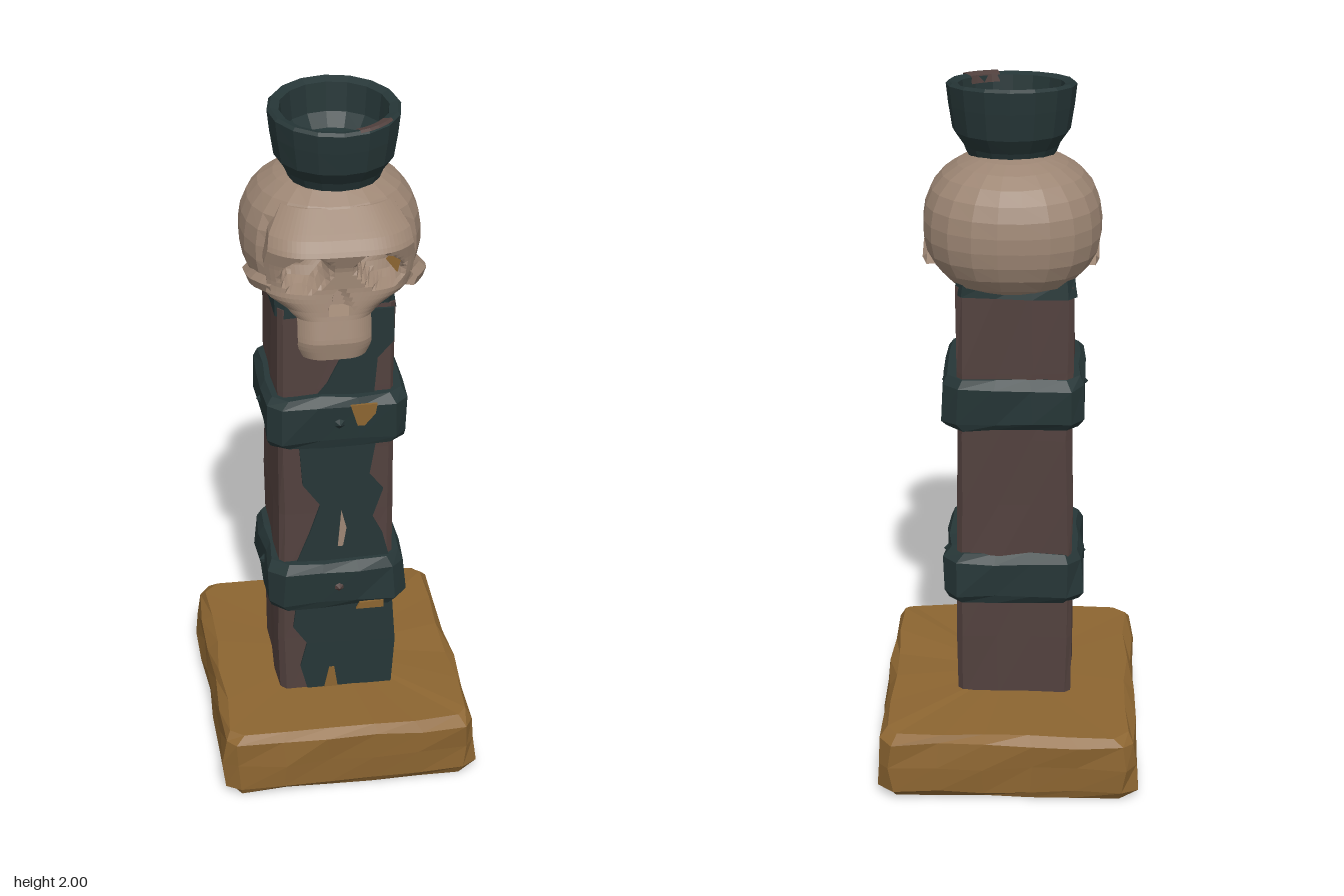
import * as THREE from 'three';

const mat = (name, color) => {
  const m = new THREE.MeshStandardMaterial({ color, side: THREE.DoubleSide });
  m.name = name;
  return m;
};

// seeded noise in -1..1
let seed = 7;
const rnd = () => {
  seed = (seed * 16807) % 2147483647;
  return (seed / 2147483647) * 2 - 1;
};

// piecewise linear lookup in [[key, value], ...]
const lookup = (table, k) => {
  for (let i = 1; i < table.length; i++) {
    const [a, va] = table[i - 1], [b, vb] = table[i];
    if (k <= b) return va + (vb - va) * Math.max(0, (k - a) / (b - a));
  }
  return table[table.length - 1][1];
};

// faceted normals
const facet = (geo) => {
  const g = geo.index ? geo.toNonIndexed() : geo;
  g.computeVertexNormals();
  return g;
};

// skin stacked rings (counterclockwise from above, bottom to top) and cap both ends
function loft(rings) {
  const n = rings[0].length, pos = rings.flat(2), idx = [];
  rings.slice(1).forEach((_, i) => {
    for (let j = 0; j < n; j++) {
      const a = i * n + j, b = i * n + (j + 1) % n;
      idx.push(a, b, b + n, a, b + n, a + n);
    }
  });
  [rings[0], rings[rings.length - 1]].forEach((ring, end) => {
    const c = pos.length / 3, o = end * (rings.length - 1) * n;
    for (let k = 0; k < 3; k++) pos.push(ring.reduce((s, p) => s + p[k], 0) / n);
    for (let j = 0; j < n; j++) {
      const a = o + j, b = o + (j + 1) % n;
      idx.push(c, end ? a : b, end ? b : a);
    }
  });
  const g = new THREE.BufferGeometry();
  g.setAttribute('position', new THREE.Float32BufferAttribute(pos, 3));
  g.setIndex(idx);
  return facet(g);
}

// hewn block: chamfered rectangle rings with half sizes w, d; rows are [y, inset]
function hewn(w, d, chamfer, n, rows, jitter, cx = 0, cz = 0) {
  return loft(rows.map(([y, inset]) => {
    const ring = [], W = w - inset, D = d - inset;
    for (let side = 0; side < 4; side++) {
      for (let i = 0; i < n; i++) {
        const t = (i / (n - 1)) * 2 - 1, x = t * (W - chamfer), z = t * (D - chamfer);
        const p = [[x, D], [W, -z], [-x, -D], [-W, z]][side];
        ring.push([cx + p[0] + rnd() * jitter, y > 0 ? y + rnd() * jitter * 0.7 : 0, cz + p[1] + rnd() * jitter]);
      }
    }
    return ring;
  }));
}

// thin flat patch with its back at z
function patch(points, z) {
  const shape = new THREE.Shape(points.map(([x, y]) => new THREE.Vector2(x, y)));
  return new THREE.ExtrudeGeometry(shape, { depth: 0.008, bevelEnabled: false }).translate(0, 0, z);
}

// rounded braincase with flattened underside and front
function craniumGeometry() {
  const g = new THREE.SphereGeometry(1, 22, 15), p = g.attributes.position;
  for (let i = 0; i < p.count; i++) {
    const v = new THREE.Vector3().fromBufferAttribute(p, i);
    const s = (Math.abs(v.x) ** 2.4 + Math.abs(v.y) ** 2.4 + Math.abs(v.z) ** 2.4) ** (-1 / 2.4);
    let x = v.x * s * 0.248, y = 1.6 + v.y * s * 0.2, z = v.z * s * 0.24;
    if (y < 1.55) x *= 1 - (1.55 - y) * 0.6;
    y = Math.max(y, z > 0 ? 1.46 : 1.435);
    if (y < 1.7) z = Math.min(z, 0.17);
    p.setXYZ(i, x - 0.005, y, z);
  }
  return facet(g);
}

// face: depth profile by height, with hollow eye sockets and nose
function faceGeometry() {
  const width = [[1.35, 0.085], [1.38, 0.1], [1.46, 0.1], [1.485, 0.13], [1.515, 0.19], [1.6, 0.205], [1.68, 0.19], [1.74, 0.15]];
  const front = [[1.35, 0.305], [1.4, 0.312], [1.47, 0.292], [1.54, 0.278], [1.6, 0.276], [1.645, 0.292], [1.68, 0.262], [1.74, 0.188]];
  const back = [[1.35, 0.265], [1.44, 0.22], [1.5, 0.1], [1.74, 0]];
  const middle = [[1.35, -0.032], [1.47, -0.03], [1.55, -0.008], [1.74, -0.005]];
  const rings = [], rows = 32, cols = 34;
  for (let i = 0; i <= rows; i++) {
    const y = 1.35 + 0.39 * i / rows, w = lookup(width, y), m = lookup(middle, y), ring = [];
    for (let j = 0; j <= cols; j++) {
      const u = j / cols * 2 - 1, x = m + u * w;
      let z = lookup(front, y) - 0.35 * w * u ** 4;
      for (const [cx, s] of [[-0.105, -1], [0.095, 1]]) {
        const dx = x - cx, dy = y - 1.587 + 0.2 * dx * s;
        const e = (dx / 0.068) ** 2 + (dy / 0.049) ** 2;
        if (e < 1) z -= 0.085 * Math.min(1, (1 - e) * 2.2) * (1 - 5 * Math.max(0, -dy));
      }
      const noseHalf = 0.036 * (1.555 - y) / 0.08;
      if (y > 1.475 && Math.abs(x + 0.015) < noseHalf) z -= 0.045;
      ring.push([x, y, z]);
    }
    for (const t of [0.95, 0.3, -0.3, -0.95]) ring.push([m + t * w, y, lookup(back, y)]);
    rings.push(ring);
  }
  return loft(rings);
}

// lathe part leaning up towards the back
function tilted(profile, segments, start, length) {
  const g = new THREE.LatheGeometry(profile.map(([r, y]) => new THREE.Vector2(r, y)), segments, start, length);
  const p = g.attributes.position;
  for (let i = 0; i < p.count; i++) p.setY(i, p.getY(i) - p.getZ(i) * 0.5 * Math.max(0, p.getY(i) - 1.8));
  return facet(g.translate(0, 0, 0.06));
}

export function createModel() {
  const group = new THREE.Group();
  const ochre = mat('ochre stone', 0x8c6531), wood = mat('dark wood', 0x52413e);
  const iron = mat('dark teal', 0x263637), bone = mat('bone', 0x9d8674);
  const add = (name, geo, material) => {
    const mesh = new THREE.Mesh(geo, material);
    mesh.name = name;
    group.add(mesh);
    return mesh;
  };

  // plinth
  add('base', hewn(0.37, 0.425, 0.035, 6, [[0, 0.02], [0.025, 0.002], [0.1, 0], [0.175, 0.003], [0.2, 0.026]], 0.008), ochre);

  // post
  add('post', hewn(0.166, 0.168, 0.016, 4,
    [[0.18, 0], [0.38, 0.001], [0.6, 0], [0.8, 0.002], [1, 0.003], [1.2, 0.002], [1.45, 0.003]], 0.004, -0.014, 0.025), wood);
  add('topCollar', hewn(0.174, 0.176, 0.025, 4, [[1.425, 0.005], [1.475, 0.01]], 0.005, -0.014, 0.022), iron);

  // worn paint on the front of the post
  const paint = [
    [[-0.1, 0.2], [0.15, 0.2], [0.16, 0.35], [0.15, 0.5], [-0.13, 0.5], [-0.14, 0.42], [-0.1, 0.36], [-0.12, 0.28]],
    [[-0.13, 0.64], [0.14, 0.64], [0.12, 0.72], [0.09, 0.78], [0.12, 0.87], [0.08, 0.92], [0.1, 1.04],
      [-0.12, 1.04], [-0.11, 0.9], [-0.06, 0.83], [-0.09, 0.74]],
    [[-0.08, 1.17], [0.09, 1.17], [0.1, 1.29], [0.145, 1.34], [0.145, 1.44], [0.05, 1.44], [0.06, 1.36], [0, 1.3], [-0.04, 1.22]],
  ];
  paint.forEach((points) => add('wornPaint', patch(points, 0.191), iron));
  add('paintChip', patch([[-0.01, 0.69], [0.005, 0.69], [0.015, 0.75], [0, 0.81]], 0.193), bone);
  add('ochreChip', patch([[-0.05, 0.2], [-0.01, 0.2], [-0.02, 0.27], [-0.035, 0.27]], 0.193), ochre);

  // bands with studs on the front and sides
  for (const y of [0.57, 1.108]) {
    add('band', hewn(0.198, 0.194, 0.04, 4,
      [[y - 0.077, 0.012], [y - 0.055, 0], [y + 0.05, 0], [y + 0.077, 0.014]], 0.006, -0.01, 0.035), iron);
    for (const [x, z, turn] of [[-0.01, 0.23, 0], [0.188, 0.05, 1], [-0.208, 0.05, -1]]) {
      const geo = new THREE.ConeGeometry(0.026, 0.024, 6).rotateX(Math.PI / 2).rotateY(turn * Math.PI / 2);
      add('stud', facet(geo.translate(x, y, z)), y < 1 && !turn ? wood : iron);
    }
  }
  add('ochreChip', patch([[0.02, 1.165], [0.095, 1.165], [0.09, 1.135], [0.06, 1.1], [0.04, 1.1]], 0.226), ochre);
  add('ochreChip', patch([[0.04, 0.488], [0.12, 0.488], [0.12, 0.512], [0.05, 0.508]], 0.222), ochre);

  // skull
  add('cranium', craniumGeometry(), bone);
  add('face', faceGeometry(), bone);
  for (const s of [-1, 1]) {
    const arch = new THREE.CatmullRomCurve3([
      new THREE.Vector3(s * 0.18, 1.535, 0.22), new THREE.Vector3(s * 0.222, 1.52, 0.13), new THREE.Vector3(s * 0.225, 1.49, 0)]);
    add('cheekArch', facet(new THREE.TubeGeometry(arch, 5, 0.022, 5)), bone);
  }
  add('socketChip', patch([[0.115, 1.6], [0.145, 1.56], [0.155, 1.6], [0.135, 1.62]], 0.222), ochre);

  // cup
  add('cup', tilted([[0, 1.785], [0.125, 1.785], [0.135, 1.81], [0.163, 1.85], [0.174, 1.92], [0.18, 1.975],
    [0.172, 1.983], [0.148, 1.975], [0.14, 1.9], [0.115, 1.865], [0, 1.86]], 16), iron);
  add('rimChip', tilted([[0.178, 1.981], [0.172, 1.987], [0.147, 1.979], [0.143, 1.955]], 4, 0.25, 0.65), wood);
  return group;
}
